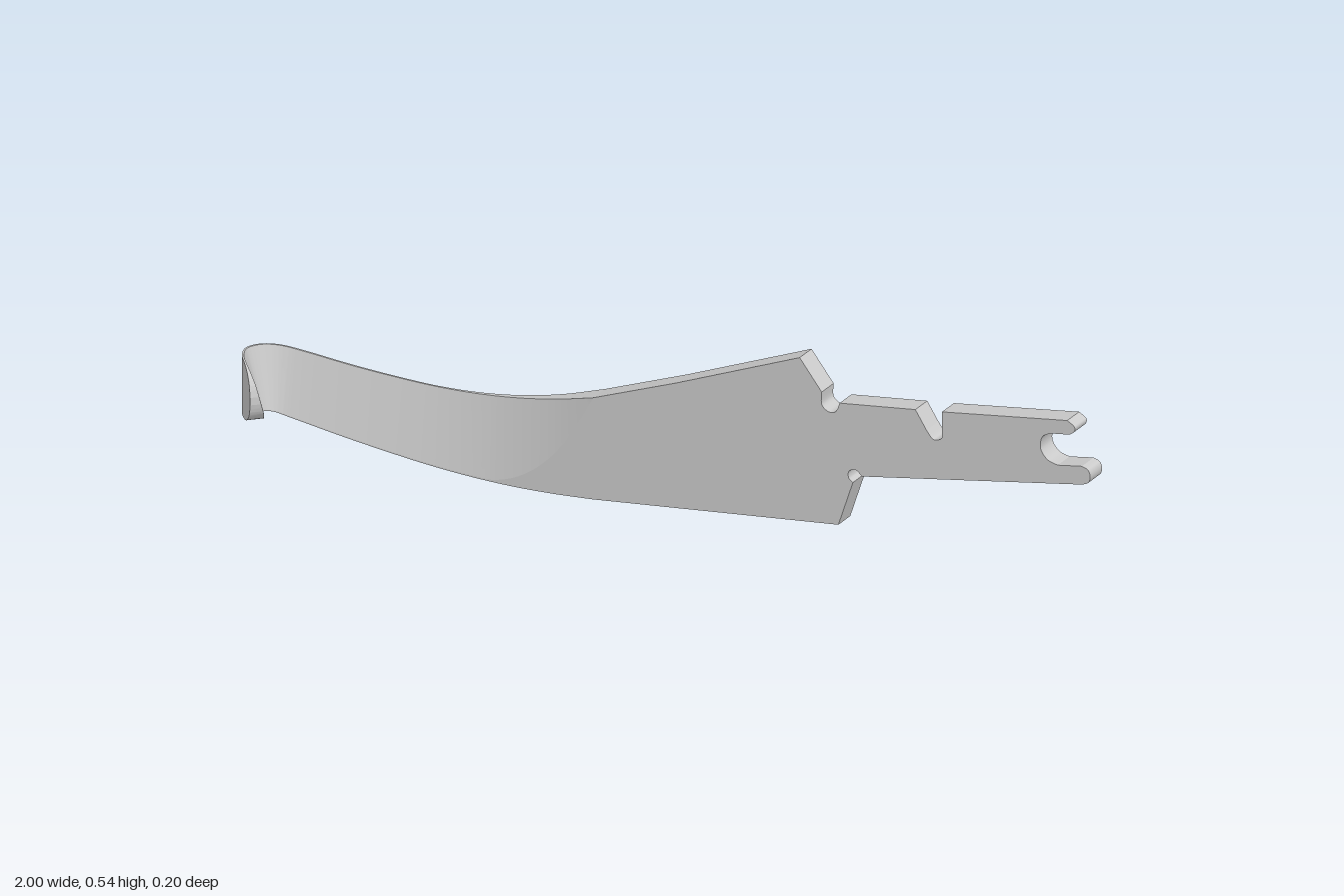
import * as THREE from 'three';
import { toCreasedNormals } from 'three/addons/utils/BufferGeometryUtils.js';

const BACK = -0.097, THICK = 0.045, JOIN = -0.2;
const material = new THREE.MeshStandardMaterial({ color: 0xcccccc, side: THREE.DoubleSide });

// Flat tang: wide shoulder, notches and a forked end
function tangGeometry() {
  const s = new THREE.Shape();
  const round = (...pts) => s.splineThru(pts.map(([x, y]) => new THREE.Vector2(x, y)));
  s.moveTo(JOIN, 0.033);
  s.lineTo(0.39, 0.143);
  // lower relief notch
  s.lineTo(0.425, 0.25);
  round([0.415, 0.257], [0.415, 0.272], [0.43, 0.281], [0.447, 0.27]);
  // fork, lower prong
  s.lineTo(0.975, 0.402);
  round([0.99, 0.41], [0.995, 0.425], [0.99, 0.439], [0.975, 0.444]);
  // fork slot
  s.lineTo(0.917, 0.43);
  round([0.892, 0.436], [0.876, 0.457], [0.88, 0.484], [0.9, 0.498]);
  // fork, upper prong
  s.lineTo(0.945, 0.508);
  round([0.956, 0.517], [0.957, 0.529], [0.94, 0.539]);
  // upper notches
  s.lineTo(0.639, 0.473);
  s.lineTo(0.639, 0.414);
  round([0.632, 0.407], [0.617, 0.404], [0.602, 0.42]);
  s.lineTo(0.575, 0.46);
  s.lineTo(0.393, 0.423);
  s.lineTo(0.388, 0.408);
  round([0.38, 0.398], [0.365, 0.396], [0.35, 0.408], [0.35, 0.436]);
  // shoulder peak and slope to the blade
  s.lineTo(0.297, 0.5);
  s.lineTo(0, 0.357);
  s.lineTo(JOIN, 0.266);
  s.closePath();
  const g = new THREE.ExtrudeGeometry(s, { depth: THICK, bevelEnabled: false, curveSegments: 8 });
  return g.translate(0, 0, BACK);
}

// Blade stations: x, z of the outer face, bottom y, top y, top and bottom thickness
const stations = [
  [-0.2, BACK, 0.033, 0.266, 0.045, 0.045],
  [-0.3, BACK, 0.018, 0.226, 0.026, 0.045],
  [-0.4, BACK, 0.007, 0.195, 0.014, 0.045],
  [-0.5, BACK, 0.001, 0.173, 0.007, 0.045],
  [-0.6, -0.096, 0, 0.16, 0.004, 0.045],
  [-0.7, -0.092, 0.004, 0.156, 0.004, 0.044],
  [-0.8, -0.085, 0.012, 0.157, 0.004, 0.043],
  [-0.9, -0.075, 0.024, 0.163, 0.004, 0.042],
  [-0.955, -0.063, 0.033, 0.168, 0.004, 0.042],
  [-0.987, -0.037, 0.038, 0.173, 0.004, 0.041],
  [-1, 0, 0.043, 0.177, 0.004, 0.041],
  [-0.987, 0.036, 0.048, 0.18, 0.004, 0.04],
  [-0.962, 0.065, 0.052, 0.18, 0.004, 0.038],
  [-0.945, 0.082, 0.063, 0.171, 0.007, 0.035],
  [-0.933, 0.093, 0.083, 0.15, 0.013, 0.03],
  [-0.928, 0.098, 0.108, 0.125, 0.019, 0.023],
];

// Tapered blade lofted along a path that ends in a rounded hook
function bladeGeometry() {
  const curve = (fn) => new THREE.CatmullRomCurve3(
    stations.map((r) => new THREE.Vector3(...fn(r))), false, 'catmullrom');
  const low = curve(([x, z, b]) => [x, b, z]);
  const high = curve(([x, z, , t]) => [x, t, z]);
  const thick = curve(([, , , , t, b]) => [t, b, 0]);
  const N = (stations.length - 1) * 10, pos = [], idx = [];

  for (let i = 0; i <= N; i++) {
    const u = i / N, a = low.getPoint(u), b = high.getPoint(u), w = thick.getPoint(u);
    const tan = low.getTangent(u).setY(0).normalize();
    const inward = new THREE.Vector3(tan.z, 0, -tan.x);
    // ground bevel starts at the top edge and sweeps down to the bottom edge
    const f = Math.max(0.02, Math.pow(Math.max(0, 1 - (JOIN - a.x) / 0.3), 2.2));
    const offset = (p, d) => p.clone().addScaledVector(inward, d);
    const kink = offset(a.clone().lerp(b, Math.min(f, 0.99)), w.y);
    for (const p of [a, b, offset(b, w.x), kink, offset(a, w.y)]) pos.push(p.x, p.y, p.z);
  }
  for (let i = 0; i < N; i++) {
    for (let k = 0; k < 5; k++) {
      const a = i * 5 + k, b = i * 5 + (k + 1) % 5;
      idx.push(a, a + 5, b, b, a + 5, b + 5);
    }
  }
  for (let k = 1; k < 4; k++) idx.push(N * 5, N * 5 + k + 1, N * 5 + k);

  const g = new THREE.BufferGeometry();
  g.setAttribute('position', new THREE.Float32BufferAttribute(pos, 3));
  g.setIndex(idx);
  return toCreasedNormals(g, 0.15);
}

export function createModel() {
  const group = new THREE.Group();
  group.name = 'hookedBlade';
  for (const [name, geometry] of [['tang', tangGeometry()], ['blade', bladeGeometry()]]) {
    const mesh = new THREE.Mesh(geometry, material);
    mesh.name = name;
    group.add(mesh);
  }
  return group;
}
